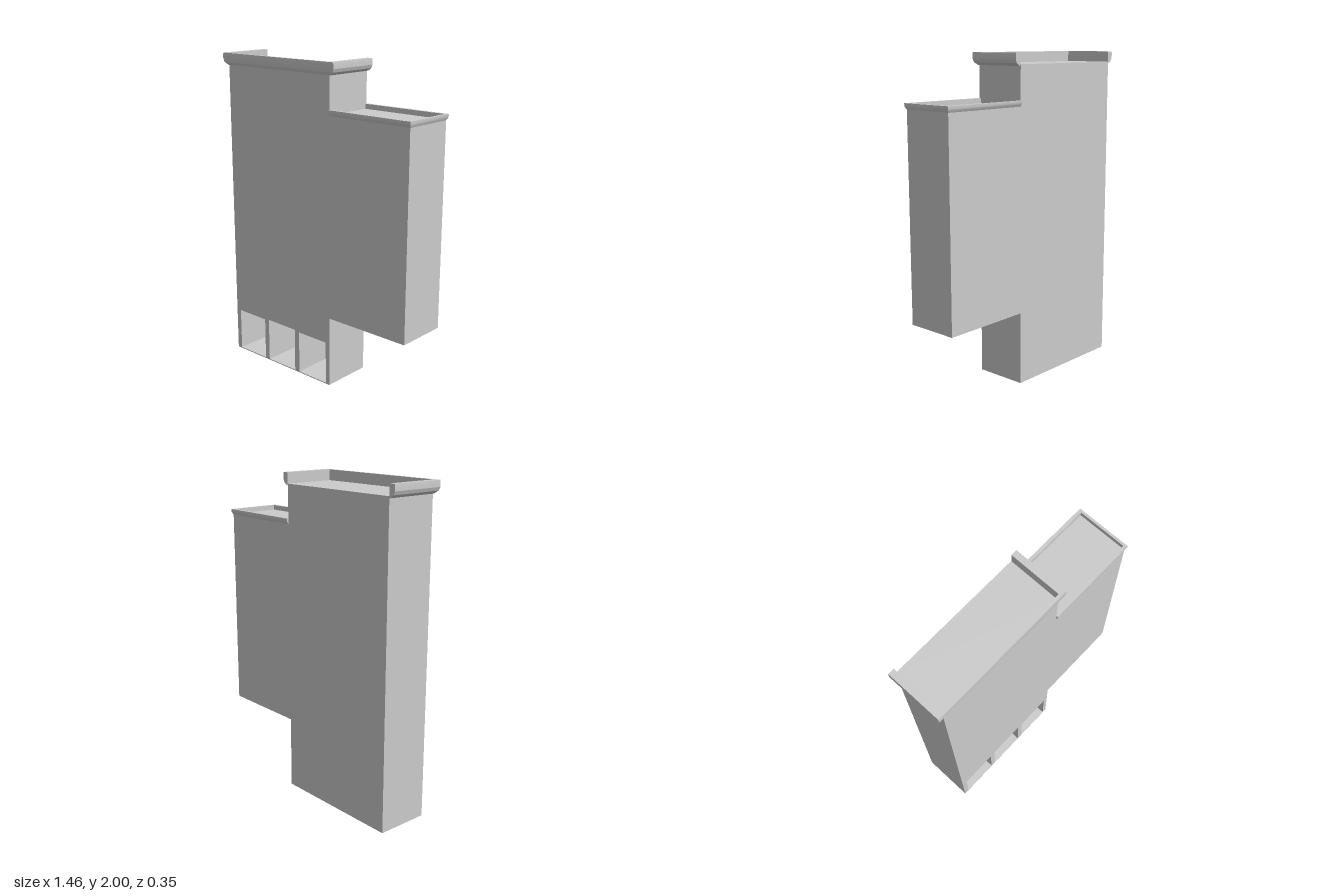
import * as THREE from 'three';
import { toCreasedNormals } from 'three/addons/utils/BufferGeometryUtils.js';

const BACK = -0.167, FRONT = 0.163;

// Sweeps a convex profile of [outward, y] along stations [x, z, outX, outZ], with mitred corners and capped ends.
function sweepCornice(profile, stations) {
  const n = profile.length, pos = [], idx = [];
  for (const [x, z, ox, oz] of stations)
    for (const [t, y] of profile) pos.push(x + t * ox, y, z + t * oz);
  for (let i = 0; i < stations.length - 1; i++)
    for (let j = 0; j < n; j++) {
      const a = i * n + j, d = i * n + (j + 1) % n;
      idx.push(a, a + n, d + n, a, d + n, d);
    }
  const last = (stations.length - 1) * n;
  for (let j = 1; j < n - 1; j++) {
    idx.push(0, j, j + 1);
    idx.push(last, last + j + 1, last + j);
  }
  const g = new THREE.BufferGeometry();
  g.setAttribute('position', new THREE.Float32BufferAttribute(pos, 3));
  g.setIndex(idx);
  return toCreasedNormals(g, 0.35);
}

function rectPoints(x0, x1, y0, y1) {
  return [[x0, y0], [x1, y0], [x1, y1], [x0, y1]].map(([x, y]) => new THREE.Vector2(x, y));
}

function boxBetween(x0, x1, y0, y1, z0, z1) {
  return new THREE.BoxGeometry(x1 - x0, y1 - y0, z1 - z0)
    .translate((x0 + x1) / 2, (y0 + y1) / 2, (z0 + z1) / 2);
}

export function createModel() {
  const model = new THREE.Group();
  model.name = 'building';
  const material = new THREE.MeshStandardMaterial({ color: 0xcccccc });
  const add = (name, geometry) => {
    const mesh = new THREE.Mesh(geometry, material);
    mesh.name = name;
    model.add(mesh);
  };

  // Ground floor openings: left, right, top, depth
  const niches = [
    [-0.66, -0.422, 0.28, 0.25],
    [-0.386, -0.148, 0.287, 0.3],
    [-0.11, 0.12, 0.28, 0.28],
  ];
  const sill = 0.006;

  // Tower with the openings cut through, then closed at the back
  const wall = new THREE.Shape(rectPoints(-0.694, 0.15, 0, 1.935));
  for (const [x0, x1, top] of niches)
    wall.holes.push(new THREE.Path(rectPoints(x0, x1, sill, top).reverse()));
  add('tower', new THREE.ExtrudeGeometry(wall, { depth: FRONT - BACK, bevelEnabled: false })
    .translate(0, 0, BACK));
  for (const [x0, x1, top, depth] of niches)
    add('nicheBackWall', boxBetween(x0, x1, sill, top, BACK, FRONT - depth));

  // Overhanging side wing
  add('wing', boxBetween(0.15, 0.722, 0.45, 1.7, BACK, FRONT));

  // Tower cornice on three sides, open at the back
  const towerProfile = [
    [0, 1.925], [0.2, 1.925], [0.8, 1.942], [1, 1.962], [1, 1.985], [0.96, 2], [0, 2],
  ];
  add('towerCornice', sweepCornice(towerProfile, [
    [-0.693, BACK, -0.04, 0],
    [-0.693, 0.159, -0.04, 0.018],
    [0.152, 0.159, 0.04, 0.018],
    [0.152, BACK, 0.04, 0],
  ]));

  // Wing cornice on three sides, ending against the tower
  const wingProfile = [[-1, 1.695], [0, 1.695], [0.75, 1.708], [1, 1.715], [1, 1.73], [-1, 1.73]];
  add('wingCornice', sweepCornice(wingProfile, [
    [0.15, FRONT, 0, 0.01],
    [0.723, FRONT, 0.008, 0.01],
    [0.723, BACK, 0.008, -0.01],
    [0.15, BACK, 0, -0.01],
  ]));

  return model;
}
